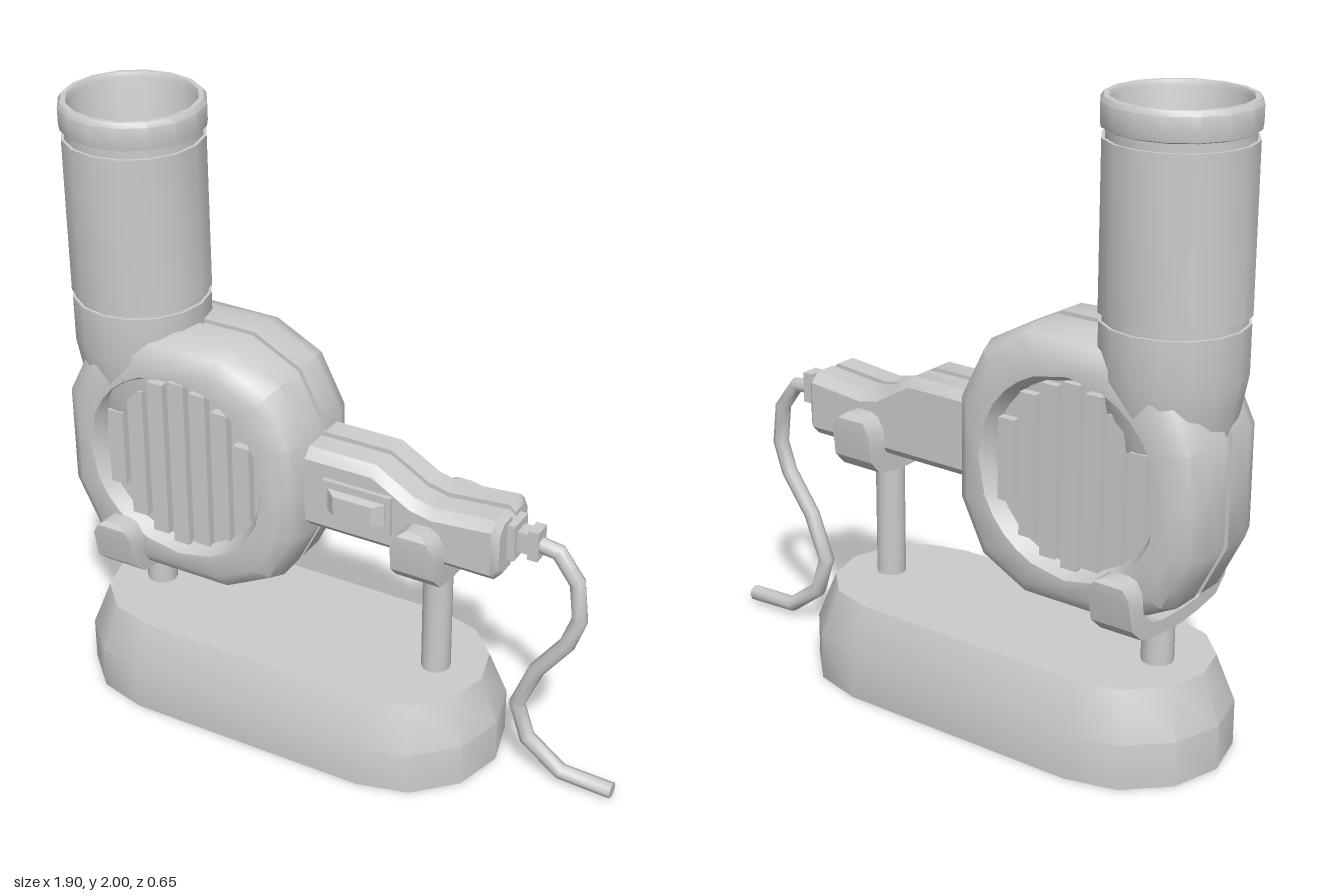
import * as THREE from 'three';
import { toCreasedNormals } from 'three/addons/utils/BufferGeometryUtils.js';

const material = new THREE.MeshStandardMaterial({ color: 0xcccccc, roughness: 0.8 });
const openMaterial = new THREE.MeshStandardMaterial({ color: 0xcccccc, roughness: 0.8, side: THREE.DoubleSide });

function add(parent, name, geometry, x = 0, y = 0, z = 0, mat = material) {
  const mesh = new THREE.Mesh(geometry, mat);
  mesh.name = name;
  mesh.position.set(x, y, z);
  parent.add(mesh);
  return mesh;
}

// Closed skin through rings of equal point count, with both ends capped.
function loft(rings, crease = 0.6) {
  const n = rings[0].length, tris = [];
  for (let r = 0; r + 1 < rings.length; r++) {
    for (let i = 0; i < n; i++) {
      const j = (i + 1) % n;
      const [a, b, c, d] = [rings[r][i], rings[r][j], rings[r + 1][j], rings[r + 1][i]];
      tris.push([a, b, c], [a, c, d]);
    }
  }
  const cap = (ring, flip) => {
    const mid = [0, 1, 2].map(k => ring.reduce((s, p) => s + p[k], 0) / n);
    ring.forEach((p, i) => {
      const q = ring[(i + 1) % n];
      tris.push(flip ? [mid, q, p] : [mid, p, q]);
    });
  };
  cap(rings[0], true);
  cap(rings[rings.length - 1], false);
  // A negative volume means the skin is inside out.
  let volume = 0;
  for (const [a, b, c] of tris) {
    volume += a[0] * (b[1] * c[2] - b[2] * c[1]) + a[1] * (b[2] * c[0] - b[0] * c[2]) + a[2] * (b[0] * c[1] - b[1] * c[0]);
  }
  const ordered = volume < 0 ? tris.map(([a, b, c]) => [a, c, b]) : tris;
  const geometry = new THREE.BufferGeometry();
  geometry.setAttribute('position', new THREE.Float32BufferAttribute(ordered.flat(2), 3));
  return toCreasedNormals(geometry, crease);
}

// Stadium outline in the ground plane.
function stadium(radius, y) {
  const ring = [];
  for (const [cx, start] of [[0.22, -90], [-0.6, 90]]) {
    for (let i = 0; i <= 6; i++) {
      const a = THREE.MathUtils.degToRad(start + i * 30);
      ring.push([cx + radius * Math.cos(a), y, radius * Math.sin(a)]);
    }
  }
  return ring;
}

// Twelve-sided housing outline with a point at the middle of each side.
function housingOutline() {
  const quarter = [[0.42, 0.17], [0.335, 0.34], [0.17, 0.425]];
  const flipX = ([x, y]) => [-x, y], flipY = ([x, y]) => [x, -y];
  const upper = [...quarter, ...quarter.map(flipX).reverse()];
  const corners = [...upper, ...upper.map(flipY).reverse()];
  return corners.flatMap((p, i) => {
    const q = corners[(i + 1) % 12];
    return [p, [(p[0] + q[0]) / 2, (p[1] + q[1]) / 2]];
  });
}

function buildHousing(group) {
  const outline = housingOutline();
  const scaled = (z, s) => outline.map(([x, y]) => [x * s, y * s, z]);
  const circle = (z, r) => outline.map(([x, y]) => {
    const l = Math.hypot(x, y);
    return [x / l * r, y / l * r, z];
  });
  // Half shell from the central seam to the recessed intake
  const half = side => [
    scaled(0.015 * side, 0.97), scaled(0.015 * side, 1), scaled(0.11 * side, 1),
    scaled(0.17 * side, 0.95), scaled(0.2 * side, 0.85),
    circle(0.2 * side, 0.315), circle(0.15 * side, 0.29),
  ];
  add(group, 'fanHousing', loft([...half(-1).reverse(), ...half(1)], 0.7), -0.5, 0.88, 0);

  // Vertical grille slats on both faces
  for (const side of [-1, 1]) {
    const grille = new THREE.Group();
    grille.name = side > 0 ? 'frontGrille' : 'backGrille';
    for (let k = -3; k <= 3; k++) {
      const x = k * 0.077, edge = Math.abs(x) + 0.028;
      const height = 2 * Math.sqrt(0.29 ** 2 - edge ** 2);
      add(grille, 'grilleSlat', new THREE.BoxGeometry(0.056, height, 0.03), x, 0, 0);
    }
    grille.position.set(-0.5, 0.88, 0.163 * side);
    group.add(grille);
  }
}

function buildNozzle(group) {
  const profile = [
    [0, 1.0], [0.17, 1.0], [0.2, 1.12], [0.218, 1.22], [0.218, 1.365], [0.208, 1.365], [0.208, 1.39],
    [0.22, 1.39], [0.22, 1.885], [0.21, 1.885], [0.21, 1.91], [0.222, 1.915], [0.225, 1.935],
    [0.225, 1.985], [0.215, 2.0], [0.2, 2.0], [0.193, 1.985], [0.193, 1.3], [0, 1.2],
  ].map(([x, y]) => new THREE.Vector2(x, y));
  add(group, 'nozzleTube', toCreasedNormals(new THREE.LatheGeometry(profile, 16), 0.6), -0.725, 0, 0, openMaterial);
}

function buildHandle(group) {
  // Chamfered section with a seam groove above and below
  const section = (x, top, bottom, inset = 0) => {
    const w = 0.115 - inset, c = w - 0.03, t = top - inset, b = bottom + inset;
    const right = [[0.012, t - 0.015], [0.012, t], [c, t], [w, t - 0.03], [w, b + 0.03], [c, b], [0.012, b], [0.012, b + 0.015]];
    return [...right, ...right.map(([z, y]) => [-z, y]).reverse()].map(([z, y]) => [x, y, z]);
  };
  add(group, 'handle', loft([
    section(-0.2, 1.025, 0.745), section(0.15, 1.025, 0.745), section(0.22, 0.985, 0.745), section(0.28, 0.95, 0.745),
    section(0.35, 0.935, 0.745), section(0.55, 0.953, 0.745), section(0.57, 0.953, 0.745, 0.018),
  ]));

  // Rocker switch in its frame
  const frame = new THREE.Shape([[-0.117, -0.065], [0.117, -0.065], [0.117, 0.065], [-0.117, 0.065]].map(p => new THREE.Vector2(...p)));
  frame.holes.push(new THREE.Path([[-0.1, -0.04], [-0.1, 0.04], [0.1, 0.04], [0.1, -0.04]].map(p => new THREE.Vector2(...p))));
  add(group, 'switchFrame', new THREE.ExtrudeGeometry(frame, { depth: 0.03, bevelEnabled: false }), 0.105, 0.885, 0.1);
  const rect = (w, h, z) => [[-w, -h, z], [w, -h, z], [w, h, z], [-w, h, z]];
  add(group, 'switchRocker', loft([rect(0.098, 0.038, 0), rect(0.098, 0.038, 0.025), rect(0.065, 0.032, 0.05)], 0.2), 0.105, 0.885, 0.105);
}

function buildCord(group) {
  // Stepped strain relief
  for (const [x, length, height, depth] of [[0.58, 0.03, 0.12, 0.09], [0.61, 0.04, 0.07, 0.055], [0.647, 0.034, 0.1, 0.06]]) {
    add(group, 'strainRelief', new THREE.BoxGeometry(length, height, depth), x, 0.86, 0);
  }
  // Cord bent in straight runs with mitred joints
  const path = [[0.64, 0.858], [0.72, 0.847], [0.785, 0.76], [0.8, 0.63], [0.765, 0.53], [0.67, 0.4], [0.61, 0.25], [0.65, 0.13], [0.77, 0.04], [0.945, 0.032]]
    .map(p => new THREE.Vector2(...p));
  const rings = path.map((p, i) => {
    const before = p.clone().sub(path[Math.max(i - 1, 0)]).normalize();
    const after = path[Math.min(i + 1, path.length - 1)].clone().sub(p).normalize();
    const dir = before.add(after).normalize();
    return Array.from({ length: 8 }, (_, k) => {
      const a = k * Math.PI / 4, s = 0.026 * Math.cos(a);
      return [p.x - dir.y * s, p.y + dir.x * s, 0.026 * Math.sin(a)];
    });
  });
  add(group, 'powerCord', loft(rings, 0.9));
}

// U-shaped cradle: half stations run from the arm tip to the bottom centre,
// as [outer z, outer y, inner z, inner y, half width].
function cradle(group, name, x, half) {
  const mirrored = half.slice(0, -1).reverse().map(([oz, oy, iz, iy, w]) => [-oz, oy, -iz, iy, w]);
  const rings = [...half, ...mirrored].map(([oz, oy, iz, iy, w]) => [[-w, oy, oz], [w, oy, oz], [w, iy, iz], [-w, iy, iz]]);
  add(group, name, loft(rings), x, 0, 0);
}

function buildStand(group) {
  add(group, 'base', loft([stadium(0.325, 0), stadium(0.325, 0.145), stadium(0.265, 0.295)], 0.55));

  const post = (name, x, r, top) => add(group, name,
    toCreasedNormals(new THREE.CylinderGeometry(r, r, top - 0.28, 12), 0.6), x, (top + 0.28) / 2, 0);
  post('housingPost', -0.705, 0.05, 0.47);
  post('handlePost', 0.325, 0.047, 0.73);

  cradle(group, 'housingCradle', -0.705, [
    [0.262, 0.65, 0.205, 0.648, 0.025], [0.275, 0.635, 0.2, 0.635, 0.05], [0.272, 0.6, 0.2, 0.6, 0.07],
    [0.25, 0.5, 0.195, 0.54, 0.072], [0.2, 0.455, 0.15, 0.495, 0.072], [0.1, 0.438, 0.09, 0.48, 0.072], [0, 0.432, 0, 0.478, 0.072],
  ]);
  cradle(group, 'handleCradle', 0.325, [
    [0.175, 0.888, 0.12, 0.885, 0.025], [0.19, 0.87, 0.115, 0.87, 0.05], [0.19, 0.83, 0.115, 0.83, 0.072],
    [0.178, 0.74, 0.113, 0.765, 0.074], [0.14, 0.698, 0.09, 0.745, 0.074], [0.07, 0.682, 0.05, 0.74, 0.074], [0, 0.68, 0, 0.738, 0.074],
  ]);
}

export function createModel() {
  const group = new THREE.Group();
  group.name = 'blowerOnStand';
  buildStand(group);
  buildHousing(group);
  buildNozzle(group);
  buildHandle(group);
  buildCord(group);
  return group;
}
